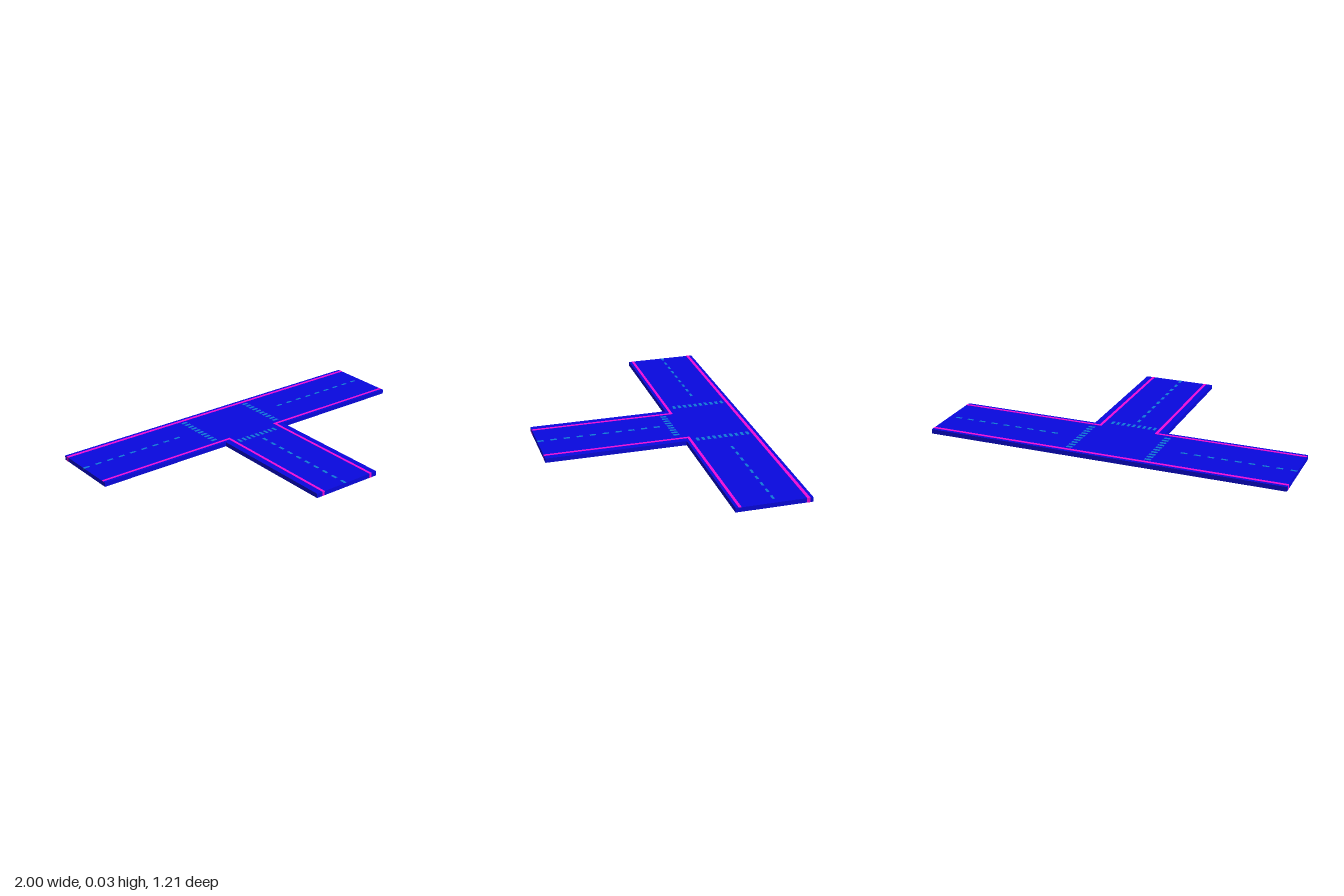
import * as THREE from 'three';

const ROAD_TOP = 0.0255;
const TOP = 0.0265;

export function createModel() {
  const group = new THREE.Group();
  const roadMat = new THREE.MeshStandardMaterial({ color: 0x0808e0 });
  const edgeMat = new THREE.MeshStandardMaterial({ color: 0xf00cdc });
  const paintMat = new THREE.MeshStandardMaterial({ color: 0x1078dc });

  // Box given by its extents in x, y and z
  function block(parent, name, mat, x0, x1, z0, z1, y0, y1) {
    const mesh = new THREE.Mesh(new THREE.BoxGeometry(x1 - x0, y1 - y0, z1 - z0), mat);
    mesh.position.set((x0 + x1) / 2, (y0 + y1) / 2, (z0 + z1) / 2);
    mesh.name = name;
    parent.add(mesh);
  }

  // Row of equal painted marks, stepped along x or z
  function markRow(name, count, x, z, width, depth, stepX, stepZ) {
    const row = new THREE.Group();
    row.name = name;
    for (let i = 0; i < count; i++) {
      const px = x + i * stepX, pz = z + i * stepZ;
      block(row, 'mark', paintMat, px, px + width, pz, pz + depth, 0.015, TOP);
    }
    group.add(row);
  }

  // T-shaped road slab, drawn in x and -z, then laid flat
  const outline = [
    [-1, 0.605], [-1, 0.19], [-0.208, 0.19], [-0.208, -0.603],
    [0.207, -0.603], [0.207, 0.19], [1, 0.19], [1, 0.605],
  ].map(([x, y]) => new THREE.Vector2(x, y));
  const slabGeo = new THREE.ExtrudeGeometry(new THREE.Shape(outline), {
    depth: ROAD_TOP - 0.0005, bevelEnabled: false,
  });
  slabGeo.rotateX(-Math.PI / 2);
  const slab = new THREE.Mesh(slabGeo, roadMat);
  slab.position.y = 0.0005;
  slab.name = 'roadSlab';
  group.add(slab);

  // Edge lines run through the full thickness of the slab
  block(group, 'backEdgeLine', edgeMat, -1.0005, 1.0005, -0.588, -0.57, 0, TOP);
  for (const side of [-1, 1]) {
    const name = side < 0 ? 'right' : 'left';
    const inner = side * 0.157, outer = side * 0.173, end = side * 0.9995;
    block(group, name + 'FrontEdgeLine', edgeMat,
      Math.min(outer, end), Math.max(outer, end), -0.222, -0.206, 0, TOP);
    block(group, name + 'StemEdgeLine', edgeMat,
      Math.min(inner, outer), Math.max(inner, outer), -0.222, 0.6035, 0, TOP);
  }

  // Dashed centre lines
  markRow('rightCentreDashes', 9, -1, -0.413, 0.036, 0.014, 0.0738, 0);
  markRow('leftCentreDashes', 9, 0.334, -0.413, 0.036, 0.014, 0.0738, 0);
  markRow('stemCentreDashes', 10, -0.02, -0.1, 0.016, 0.036, 0, 0.0741);

  // Crossing stripes on the three arms
  markRow('rightCrossing', 10, -0.261, -0.555, 0.036, 0.017, 0, 0.0323);
  markRow('leftCrossing', 10, 0.182, -0.555, 0.036, 0.017, 0, 0.0323);
  markRow('stemCrossing', 9, -0.141, -0.176, 0.016, 0.036, 0.0308, 0);

  return group;
}
